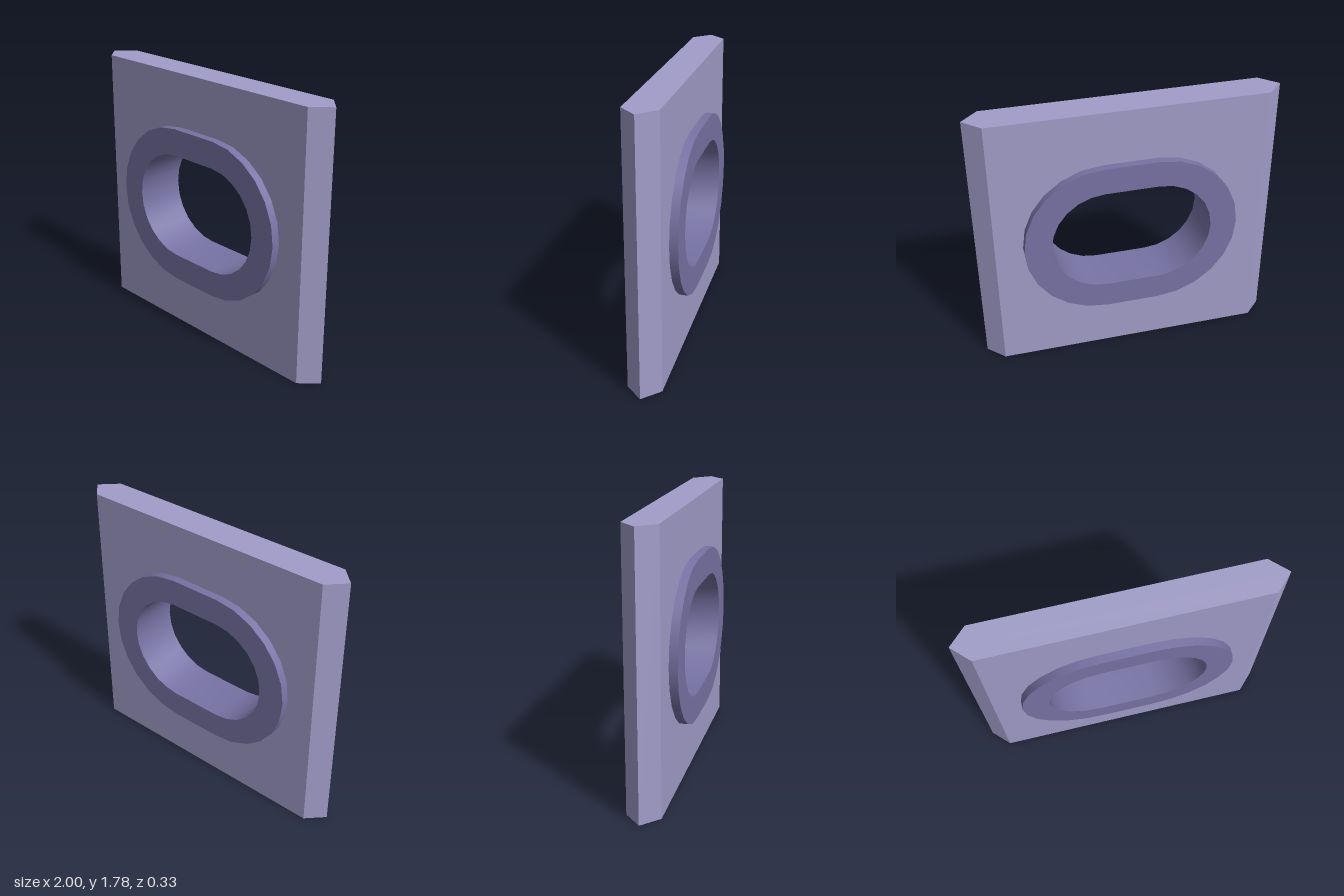
import * as THREE from 'three';
import { toCreasedNormals } from 'three/addons/utils/BufferGeometryUtils.js';

const HEIGHT = 1.78, CENTRE_Y = HEIGHT / 2;
const PLATE_HALF = 0.11, RING_HALF = 0.165; // half depths
const FLAT_X = 0.89;                        // where the side bevels begin
const ARC_X = 0.175;                        // centres of the rounded ends

// Slot outline: two half circles joined by straight runs
function slot(Kind, radius) {
  const path = new Kind();
  path.absarc(ARC_X, CENTRE_Y, radius, -Math.PI / 2, Math.PI / 2);
  path.absarc(-ARC_X, CENTRE_Y, radius, Math.PI / 2, Math.PI * 1.5);
  path.closePath();
  return path;
}

function extrude(shape, halfDepth, steps) {
  return new THREE.ExtrudeGeometry(shape, {
    depth: halfDepth * 2, steps, bevelEnabled: false, curveSegments: 6,
  }).translate(0, 0, -halfDepth);
}

function createPlate() {
  const shape = new THREE.Shape([
    new THREE.Vector2(-1, 0), new THREE.Vector2(1, 0),
    new THREE.Vector2(1, HEIGHT), new THREE.Vector2(-1, HEIGHT),
  ]);
  // The opening's edge is buried inside the ring
  shape.holes.push(slot(THREE.Path, 0.45));
  const geometry = extrude(shape, PLATE_HALF, 2);

  // Pull in the front and back side edges, leaving a ridge at z = 0
  const p = geometry.attributes.position;
  for (let i = 0; i < p.count; i++) {
    if (Math.abs(p.getX(i)) > 0.99 && Math.abs(p.getZ(i)) > PLATE_HALF / 2) {
      p.setX(i, Math.sign(p.getX(i)) * FLAT_X);
    }
  }
  geometry.computeVertexNormals();
  const mesh = new THREE.Mesh(geometry, new THREE.MeshStandardMaterial({ color: 0xa19dc9 }));
  mesh.name = 'plate';
  return mesh;
}

function createRing() {
  const shape = slot(THREE.Shape, 0.534);
  shape.holes.push(slot(THREE.Path, 0.356));
  const geometry = toCreasedNormals(extrude(shape, RING_HALF, 1), Math.PI / 6);
  const mesh = new THREE.Mesh(geometry, new THREE.MeshStandardMaterial({ color: 0x7873a5 }));
  mesh.name = 'slotRing';
  return mesh;
}

export function createModel() {
  const group = new THREE.Group();
  group.name = 'slottedPlate';
  group.add(createPlate(), createRing());
  return group;
}
